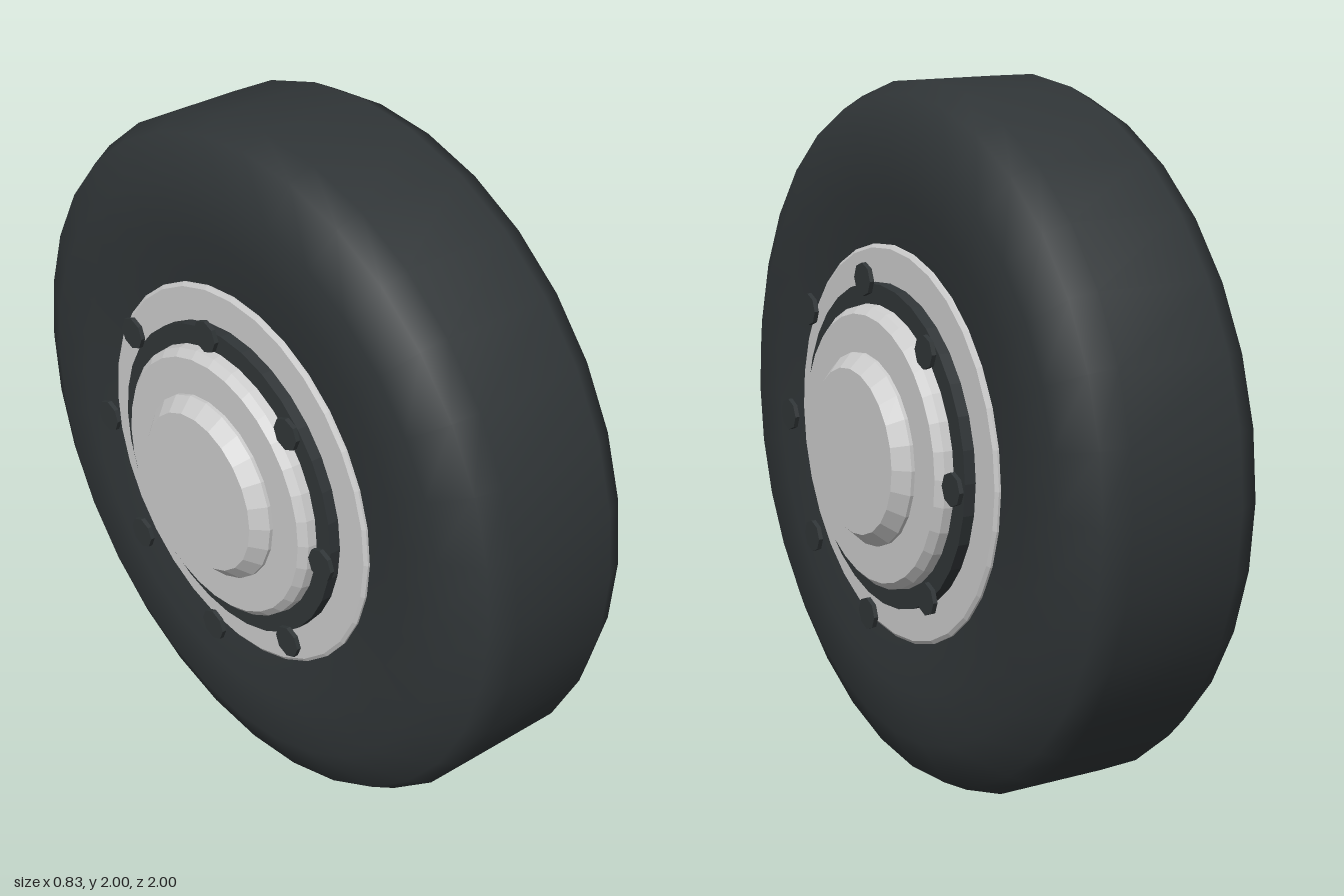
import * as THREE from 'three';

const rubber = new THREE.MeshStandardMaterial({ color: 0x303537 });
const darkMetal = new THREE.MeshStandardMaterial({ color: 0x303537, flatShading: true });
const metal = new THREE.MeshStandardMaterial({ color: 0xcccccc, flatShading: true });

// Turn a [radius, x] profile around the wheel axle (x axis), inner end first
function turned(name, profile, sides, material) {
  const points = profile.map(([r, x]) => new THREE.Vector2(r, x));
  const geometry = new THREE.LatheGeometry(points, sides);
  geometry.rotateZ(-Math.PI / 2);
  const mesh = new THREE.Mesh(geometry, material);
  mesh.name = name;
  return mesh;
}

// Everything on one face of the wheel, facing +x
function createHubSide() {
  const side = new THREE.Group();

  side.add(turned('rim', [[0.56, 0.2], [0.56, 0.28], [0.55, 0.287], [0, 0.287]], 32, metal));
  side.add(turned('bearingRing', [[0.455, 0.27], [0.455, 0.32], [0, 0.32]], 32, darkMetal));
  side.add(turned('hub', [[0.4, 0.31], [0.395, 0.345], [0.375, 0.365], [0, 0.365]], 32, metal));
  side.add(turned('hubCap', [[0.27, 0.36], [0.27, 0.375], [0.232, 0.415], [0, 0.415]], 24, metal));

  // Ring of eight bolt heads
  const boltGeometry = new THREE.CylinderGeometry(0.046, 0.046, 0.013, 8);
  boltGeometry.rotateZ(-Math.PI / 2);
  const bolts = new THREE.Group();
  bolts.name = 'bolts';
  for (let i = 0; i < 8; i++) {
    const a = (i / 8) * Math.PI * 2;
    const bolt = new THREE.Mesh(boltGeometry, darkMetal);
    bolt.name = 'bolt';
    bolt.position.set(0.368, Math.cos(a) * 0.475, Math.sin(a) * 0.475);
    bolts.add(bolt);
  }
  side.add(bolts);
  return side;
}

export function createModel() {
  const wheel = new THREE.Group();
  wheel.name = 'wheel';

  // Tyre: half section mirrored across the middle of the tread
  const half = [[0.5, 0.265], [0.57, 0.275], [0.7, 0.292], [0.845, 0.291], [0.965, 0.232], [1, 0.165]];
  const section = [
    ...half.map(([r, x]) => [r, -x]),
    ...half.slice().reverse(),
  ];
  wheel.add(turned('tyre', section, 32, rubber));

  const left = createHubSide();
  left.name = 'leftHub';
  const right = createHubSide();
  right.name = 'rightHub';
  right.rotation.y = Math.PI;
  wheel.add(left, right);

  wheel.children.forEach((part) => { part.position.y = 1; });
  return wheel;
}
